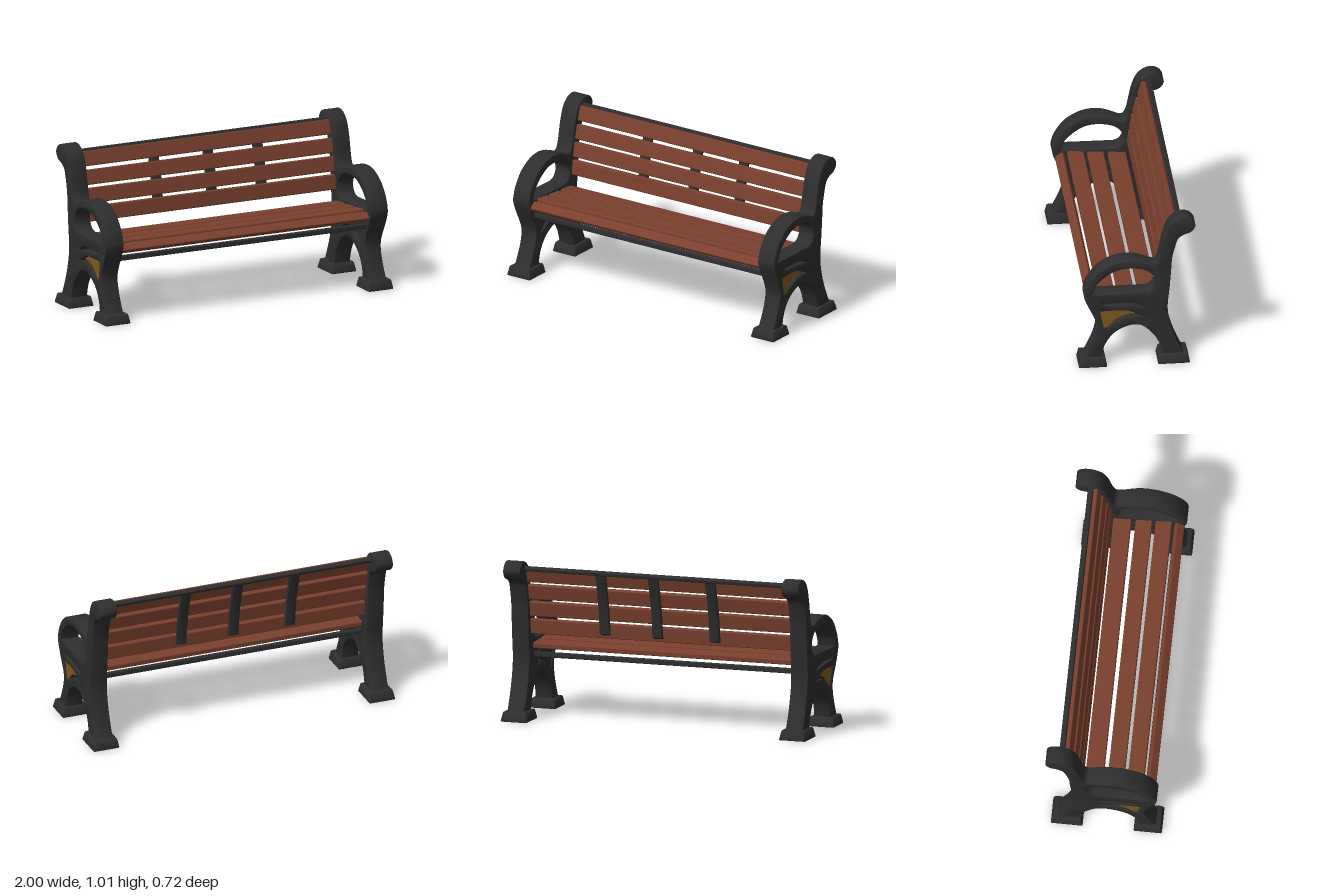
import * as THREE from 'three';
import { toCreasedNormals } from 'three/addons/utils/BufferGeometryUtils.js';
import { RoundedBoxGeometry } from 'three/addons/geometries/RoundedBoxGeometry.js';

const mat = (name, color) => {
  const m = new THREE.MeshStandardMaterial({ color });
  m.name = name;
  return m;
};
const iron = mat('dark iron', 0x2e2e2e);
const wood = mat('brown wood', 0x7a402d);
const brass = mat('aged brass', 0x80591c);

const pts = (list) => list.map(([z, y]) => new THREE.Vector2(z, y));

// Closed outline made of smooth runs joined by sharp corners
function outline(target, ...runs) {
  runs.forEach((run, i) => {
    const p = pts(run);
    if (i === 0) target.moveTo(p[0].x, p[0].y);
    else target.lineTo(p[0].x, p[0].y);
    if (p.length > 1) target.splineThru(p.slice(1));
  });
  target.closePath();
  return target;
}

// Extrude a (z, y) profile across x, centred on x = 0
function extrudeAcross(shape, width, bevel) {
  const depth = width - 2 * bevel;
  const g = new THREE.ExtrudeGeometry(shape, {
    depth, curveSegments: 5, bevelEnabled: bevel > 0,
    bevelSize: bevel, bevelThickness: bevel, bevelOffset: -bevel, bevelSegments: 2,
  });
  g.translate(0, 0, -depth / 2);
  g.rotateY(-Math.PI / 2);
  return toCreasedNormals(g, 0.6);
}

// End frame with its outer side towards +x
function frameGeometry() {
  const edge = outline(new THREE.Shape(),
    // back of the rear leg, scrolled top, armrest, front leg
    [[-0.29, 0.05], [-0.23, 0.19], [-0.197, 0.31], [-0.19, 0.4], [-0.2, 0.5], [-0.21, 0.62], [-0.217, 0.72],
      [-0.235, 0.8], [-0.255, 0.857], [-0.29, 0.885], [-0.335, 0.902], [-0.361, 0.94], [-0.352, 0.973],
      [-0.325, 0.998], [-0.285, 1.006], [-0.235, 0.988], [-0.195, 0.945], [-0.167, 0.87], [-0.152, 0.8],
      [-0.137, 0.73], [-0.12, 0.692], [-0.098, 0.684], [-0.06, 0.697], [0, 0.718], [0.07, 0.725],
      [0.15, 0.71], [0.24, 0.657], [0.3, 0.58], [0.325, 0.515], [0.325, 0.47], [0.3, 0.41], [0.265, 0.335],
      [0.249, 0.28], [0.255, 0.225], [0.28, 0.15], [0.328, 0.05]],
    // arch between the legs
    [[0.219, 0.05], [0.202, 0.13], [0.16, 0.2], [0.1, 0.248], [0.03, 0.272], [-0.03, 0.263],
      [-0.09, 0.21], [-0.135, 0.14], [-0.16, 0.05]]);
  // run the edge counterclockwise so the openings face inwards
  const shape = new THREE.Shape(edge.getPoints(5).reverse());
  // armrest opening, upper slit, lower opening
  shape.holes.push(outline(new THREE.Path(),
    [[-0.055, 0.497], [-0.09, 0.512], [-0.113, 0.555], [-0.104, 0.602], [-0.06, 0.646], [0, 0.666], [0.07, 0.671],
      [0.14, 0.655], [0.21, 0.609], [0.26, 0.552], [0.278, 0.497]]));
  shape.holes.push(outline(new THREE.Path(),
    [[0.215, 0.431], [0.1, 0.434], [0.03, 0.429], [-0.02, 0.412], [-0.036, 0.395]],
    [[-0.034, 0.394], [0.01, 0.408], [0.1, 0.418], [0.2, 0.422]]));
  shape.holes.push(outline(new THREE.Path(),
    [[0.232, 0.38], [0.09, 0.38], [0.03, 0.365], [-0.042, 0.325]],
    [[0, 0.333], [0.06, 0.329], [0.13, 0.298], [0.19, 0.262]], [[0.207, 0.265]]));
  const g = extrudeAcross(shape, 0.113, 0.008);
  // the armrest and front apron swell on the outer side
  const p = g.attributes.position;
  for (let i = 0; i < p.count; i++) {
    const w = THREE.MathUtils.smoothstep(p.getZ(i), -0.12, 0.06) * THREE.MathUtils.smoothstep(p.getY(i), 0.2, 0.42);
    p.setX(i, p.getX(i) + 0.18 * w * Math.max(0, p.getX(i)));
  }
  return g;
}

// Foot block whose upper edge draws in
function footGeometry(depth) {
  const g = new RoundedBoxGeometry(0.174, 0.062, depth, 2, 0.008);
  const p = g.attributes.position;
  for (let i = 0; i < p.count; i++) {
    const k = 1 - 0.15 * (p.getY(i) / 0.062 + 0.5);
    p.setX(i, p.getX(i) * k);
    p.setZ(i, p.getZ(i) * k);
  }
  g.computeVertexNormals();
  return toCreasedNormals(g, 0.6);
}

export function createModel() {
  const model = new THREE.Group();
  model.name = 'parkBench';
  const add = (parent, name, geometry, material, x, y, z, tilt = 0) => {
    const m = new THREE.Mesh(geometry, material);
    m.name = name;
    m.position.set(x, y, z);
    m.rotation.x = tilt;
    parent.add(m);
    return m;
  };
  const bar = (w, h, d) => new RoundedBoxGeometry(w, h, d, 2, 0.007);

  // Cast end frames with feet and a brass plate on the outer side
  const frame = frameGeometry();
  const frontFoot = footGeometry(0.178);
  const rearFoot = footGeometry(0.2);
  const panelShape = outline(new THREE.Shape(),
    [[0.238, 0.384]], [[0.085, 0.384]], [[0.015, 0.352], [0.07, 0.345], [0.13, 0.318], [0.188, 0.26]],
    [[0.21, 0.26]]);
  const backing = extrudeAcross(panelShape, 0.092, 0);
  const plate = extrudeAcross(panelShape, 0.008, 0);
  for (const side of [-1, 1]) {
    const end = new THREE.Group();
    end.name = side > 0 ? 'leftEnd' : 'rightEnd';
    end.position.x = side * 0.913;
    end.scale.x = side;
    add(end, 'endFrame', frame, iron, 0, 0, 0);
    add(end, 'panelBacking', backing, iron, -0.002, 0, 0);
    add(end, 'brassPlate', plate, brass, 0.048, 0, 0);
    add(end, 'frontFoot', frontFoot, iron, 0, 0.031, 0.275);
    add(end, 'rearFoot', rearFoot, iron, 0, 0.031, -0.226);
    model.add(end);
  }

  // Seat slats sloping gently to the back, the front one rolled over the edge
  const length = 1.73;
  for (const [y, z, d] of [[0.456, -0.07, 0.112], [0.466, 0.063, 0.102], [0.475, 0.186, 0.102]])
    add(model, 'seatSlat', bar(length, 0.034, d), wood, 0, y, z, -0.075);
  add(model, 'frontSeatSlat', bar(length, 0.032, 0.06), wood, 0, 0.462, 0.282, 0.65);

  // Backrest slats following a gentle backward curve
  for (const [y, z, lean] of [[0.581, -0.154, 0.12], [0.693, -0.17, 0.19], [0.803, -0.194, 0.25], [0.914, -0.226, 0.3]])
    add(model, 'backSlat', bar(length, 0.094, 0.034), wood, 0, y, z, -lean);

  // Curved iron straps behind the backrest
  const strap = extrudeAcross(outline(new THREE.Shape(),
    [[-0.162, 0.55], [-0.182, 0.693], [-0.206, 0.803], [-0.25, 0.95]],
    [[-0.276, 0.95], [-0.233, 0.803], [-0.209, 0.693], [-0.193, 0.565]]), 0.065, 0.005);
  for (const x of [-0.355, 0.02, 0.365])
    add(model, 'backStrap', strap, iron, x, 0, 0);

  // Rails along the bench
  add(model, 'topRail', bar(length, 0.024, 0.034), iron, 0, 0.957, -0.266, -0.3);
  for (const [name, z] of [['frontRail', 0.262], ['rearRail', -0.1]])
    add(model, name, bar(length, 0.032, 0.03), iron, 0, 0.396, z);

  return model;
}
